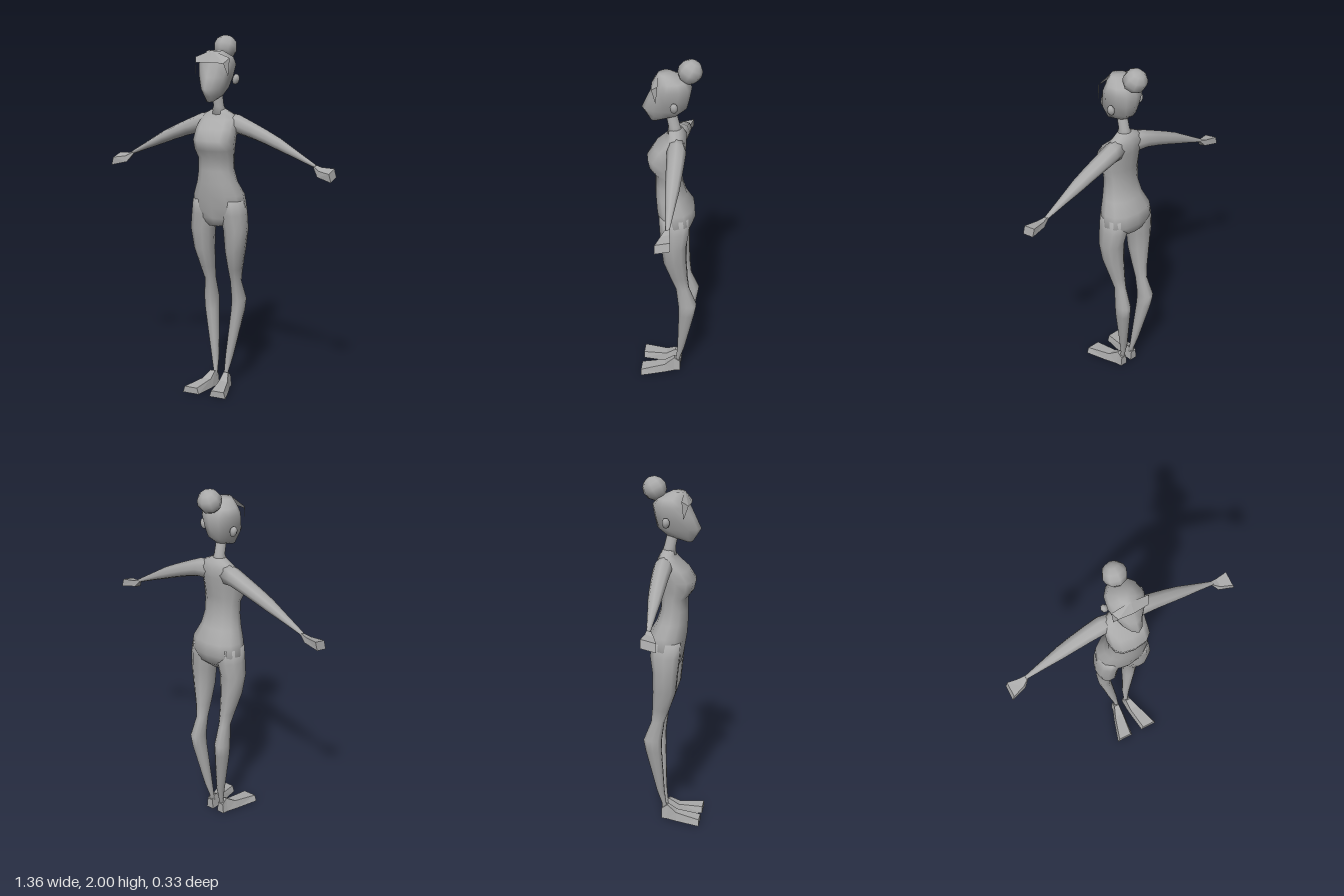
import * as THREE from 'three';

const skin = new THREE.MeshStandardMaterial({ color: 0xaaaaaa });
skin.name = 'plain grey';
const sheet = new THREE.MeshStandardMaterial({ color: 0xaaaaaa, side: THREE.DoubleSide });
sheet.name = 'plain grey sheet';

// Closed skin through rings of [x, y, z] points, capped at both ends, wound outwards
function loft(rings, crisp = false) {
  const n = rings[0].length, pts = rings.flat(), tris = [];
  for (let r = 0; r < rings.length - 1; r++)
    for (let i = 0; i < n; i++) {
      const a = r * n + i, b = r * n + (i + 1) % n;
      tris.push([a, b, b + n], [a, b + n, a + n]);
    }
  [0, rings.length - 1].forEach((r, end) => {
    const mid = [0, 1, 2].map(k => rings[r].reduce((s, p) => s + p[k], 0) / n);
    const c = pts.push(mid) - 1;
    for (let i = 0; i < n; i++) {
      const a = r * n + i, b = r * n + (i + 1) % n;
      tris.push(end ? [c, a, b] : [c, b, a]);
    }
  });
  const v = pts.map(p => new THREE.Vector3(...p));
  const volume = tris.reduce((s, [a, b, c]) => s + v[a].dot(v[b].clone().cross(v[c])), 0);
  if (volume < 0) tris.forEach(t => t.reverse());
  let geo = new THREE.BufferGeometry().setFromPoints(v);
  geo.setIndex(tris.flat());
  if (crisp) geo = geo.toNonIndexed();
  geo.computeVertexNormals();
  return geo;
}

// Horizontal ring: centre x, half width, front z, back z, z of widest point, corner powers
function ring(y, cx, w, zf, zb, zm = (zf + zb) / 2, pf = 1, pb = 1, n = 12) {
  return Array.from({ length: n }, (_, i) => {
    const a = i / n * Math.PI * 2, c = Math.cos(a), s = Math.sin(a), p = s > 0 ? pf : pb;
    const pow = t => Math.abs(t) < 1e-6 ? 0 : Math.sign(t) * Math.abs(t) ** p;
    return [cx + w * pow(c), y, zm + (s > 0 ? zf - zm : zm - zb) * pow(s)];
  });
}

// Ring standing across the arm
function armRing([x, yb, yt, zb, zf], side) {
  return Array.from({ length: 8 }, (_, i) => {
    const a = i / 8 * Math.PI * 2;
    return [side * x, (yb + yt) / 2 + (yt - yb) / 2 * Math.sin(a), (zb + zf) / 2 + (zf - zb) / 2 * Math.cos(a)];
  });
}

export function createModel() {
  const model = new THREE.Group();
  const add = (name, geo, mat = skin) => {
    const m = new THREE.Mesh(geo, mat);
    m.name = name;
    model.add(m);
    return m;
  };

  // Torso: y, half width, front z, back z
  add('torso', loft([
    [0.955, 0.05, 0.045, -0.06], [1.0, 0.12, 0.058, -0.112], [1.06, 0.158, 0.068, -0.137],
    [1.13, 0.148, 0.08, -0.133], [1.2, 0.118, 0.085, -0.09], [1.27, 0.104, 0.085, -0.068],
    [1.34, 0.104, 0.085, -0.062], [1.385, 0.11, 0.118, -0.068], [1.44, 0.117, 0.13, -0.075],
    [1.5, 0.117, 0.09, -0.083], [1.55, 0.112, 0.035, -0.085], [1.58, 0.085, 0.015, -0.07],
    [1.605, 0.035, 0.01, -0.055],
  ].map(([y, w, f, b], i) => ring(y, 0, w, f, b, undefined, i > 6 && i < 10 ? 0.75 : 0.9, 0.9))));

  // Neck
  add('neck', loft([
    ring(1.56, 0, 0.06, 0.02, -0.07), ring(1.62, 0, 0.028, 0.015, -0.05), ring(1.76, 0, 0.027, 0.045, -0.015),
  ]));

  // Head: pointed towards the nose, rounded behind
  add('head', loft([
    [1.652, 0.018, 0.108, 0.07, 0.09], [1.685, 0.045, 0.13, -0.035, 0.05], [1.725, 0.066, 0.156, -0.085, 0.04],
    [1.785, 0.088, 0.128, -0.1, 0.03], [1.85, 0.102, 0.098, -0.112, 0.02], [1.89, 0.088, 0.085, -0.085, 0.01],
    [1.925, 0.045, 0.07, -0.01, 0.03],
  ].map(([y, w, f, b, m]) => ring(y, 0, w, f, b, m, 1.2, 0.9))));

  // Hair bun
  const bun = add('hairBun', new THREE.SphereGeometry(0.067, 8, 6));
  bun.position.set(0, 1.937, -0.1);
  bun.rotation.x = -0.5;

  for (const side of [1, -1]) {
    const label = side > 0 ? 'left' : 'right';

    // Fringe: a swept flap and a hanging strand
    const p = [[0, 1.93, 0.065], [0.104, 1.89, 0.06], [0, 1.865, 0.103], [0.083, 1.862, 0.095], [0.1, 1.79, 0.07]]
      .map(([x, y, z]) => new THREE.Vector3(side * x, y, z));
    const fringe = new THREE.BufferGeometry().setFromPoints(
      [0, 2, 3, 0, 3, 1, 1, 3, 4].map(i => p[i]));
    if (side < 0) {
      const a = fringe.attributes.position;
      for (let i = 0; i < 9; i += 3) {
        const t = new THREE.Vector3().fromBufferAttribute(a, i + 1);
        a.setXYZ(i + 1, a.getX(i + 2), a.getY(i + 2), a.getZ(i + 2));
        a.setXYZ(i + 2, t.x, t.y, t.z);
      }
    }
    fringe.computeVertexNormals();
    add(label + 'Fringe', fringe, sheet);

    // Ear
    const ear = add(label + 'Ear', new THREE.SphereGeometry(1, 7, 5));
    ear.scale.set(0.02, 0.03, 0.022);
    ear.position.set(side * 0.1, 1.77, -0.025);
    ear.rotation.z = -side * 0.25;

    // Arm: x, bottom, top, back, front
    add(label + 'Arm', loft([
      [0.04, 1.46, 1.585, -0.075, 0.01], [0.115, 1.468, 1.575, -0.093, 0.012], [0.2, 1.445, 1.537, -0.09, 0.005],
      [0.28, 1.418, 1.5, -0.086, 0], [0.36, 1.388, 1.46, -0.08, -0.006], [0.46, 1.352, 1.398, -0.066, -0.018],
      [0.57, 1.31, 1.33, -0.052, -0.03],
    ].map(r => armRing(r, side))));

    // Hand: flat mitten flaring to a straight edge
    add(label + 'Hand', loft([
      [0.56, 0.56, 1.313, 1.33, -0.05, -0.032], [0.592, 0.6, 1.268, 1.316, -0.055, -0.008],
      [0.68, 0.668, 1.247, 1.312, -0.066, 0.014],
    ].map(([xb, xt, yb, yt, zb, zf]) => {
      const t = (yt - yb) * 0.3;
      return [[xb, yb, zf], [xt, yt - t, zf], [xt, yt, zb], [xb, yb + t, zb]].map(([x, y, z]) => [side * x, y, z]);
    }), true));

    // Leg: y, inner x, outer x, front z, back z
    add(label + 'Leg', loft([
      [1.1, 0.02, 0.15, 0.06, -0.11], [1.02, 0.015, 0.162, 0.055, -0.115], [0.93, 0.034, 0.171, 0.045, -0.1],
      [0.81, 0.042, 0.152, 0.033, -0.1], [0.7, 0.048, 0.126, -0.005, -0.105], [0.62, 0.052, 0.11, -0.036, -0.113],
      [0.51, 0.05, 0.125, -0.05, -0.157], [0.44, 0.045, 0.12, -0.052, -0.145], [0.17, 0.022, 0.068, -0.043, -0.086],
      [0.085, 0.022, 0.047, -0.035, -0.06], [0.05, 0.02, 0.055, -0.02, -0.058],
    ].map(([y, a, b, f, k]) => ring(y, side * (a + b) / 2, (b - a) / 2, f, k, undefined, 0.9, 0.9, 10))));

    // Foot: z, inner and outer x, top height, inset of the upper edge
    add(label + 'Foot', loft([
      [-0.06, 0.016, 0.062, 0.06, 0.006], [-0.025, 0.015, 0.068, 0.085, 0.012],
      [0.03, 0.018, 0.09, 0.05, 0.01], [0.167, 0.034, 0.135, 0.036, 0.012],
    ].map(([z, a, b, h, e]) =>
      [[a, 0], [b, 0], [b - e, h], [a + e, h]].map(([x, y]) => [side * x, y, z])), true));
  }
  return model;
}
